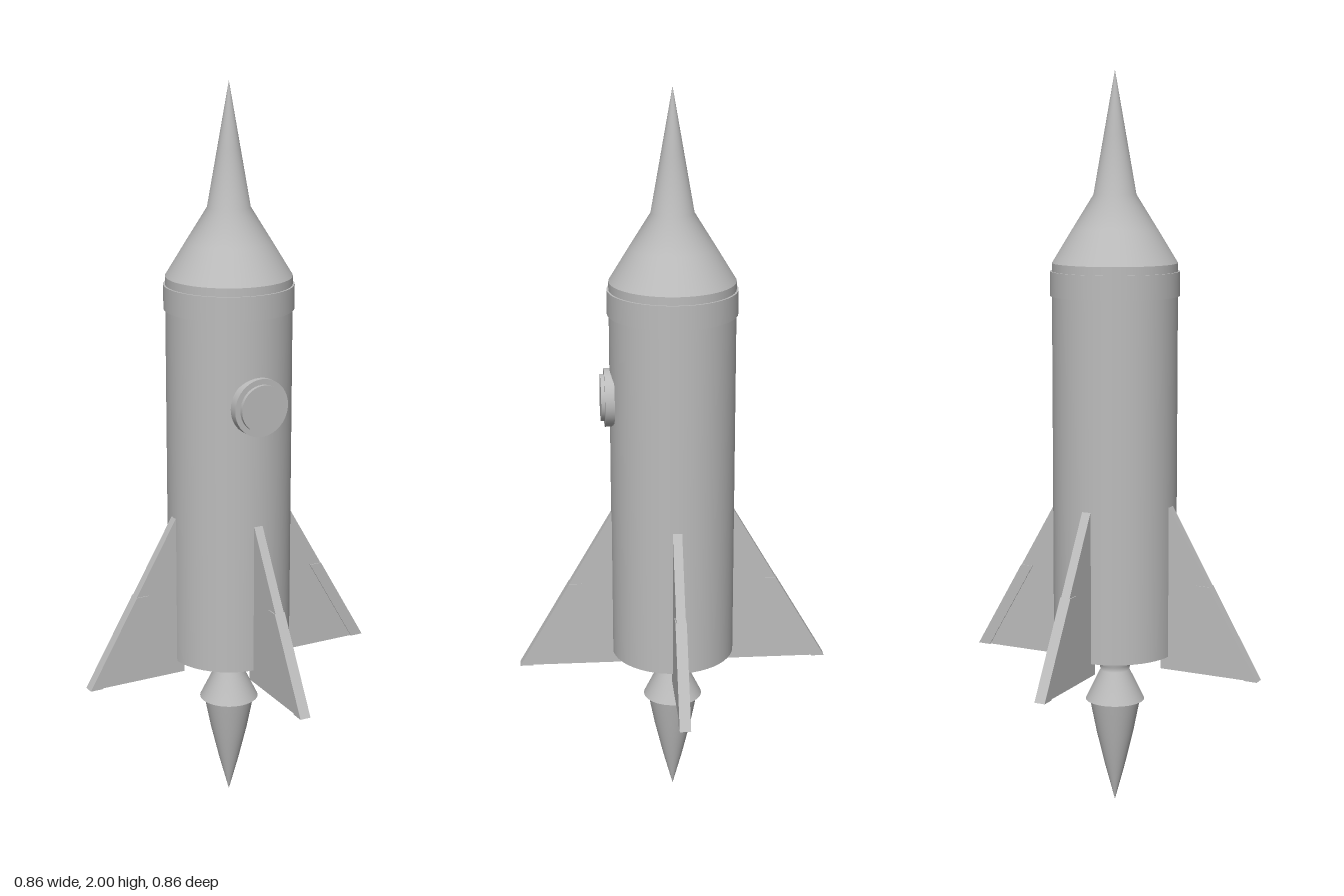
import * as THREE from 'three';

export function createModel() {
  const group = new THREE.Group();
  group.name = 'rocket';
  const grey = new THREE.MeshStandardMaterial({ color: 0xbcbcbc });
  grey.name = 'hull grey';

  const add = (name, geometry, parent = group) => {
    const mesh = new THREE.Mesh(geometry, grey);
    mesh.name = name;
    parent.add(mesh);
    return mesh;
  };
  // Profile points run from bottom to top as [radius, y]
  const lathe = (points) =>
    new THREE.LatheGeometry(points.map(([r, y]) => new THREE.Vector2(r, y)), 48);
  // Flat plate in the xy plane, centred on z = 0
  const plate = (points, thickness) => {
    const shape = new THREE.Shape(points.map(([x, y]) => new THREE.Vector2(x, y)));
    const geometry = new THREE.ExtrudeGeometry(shape, { depth: thickness, bevelEnabled: false });
    return geometry.translate(0, 0, -thickness / 2);
  };

  // Hull, collar and spire
  add('body', new THREE.CylinderGeometry(0.168, 0.168, 1.06, 48).translate(0, 0.967, 0));
  add('collar', new THREE.CylinderGeometry(0.173, 0.173, 0.065, 48).translate(0, 1.4425, 0));
  add('noseCone', lathe([[0.168, 1.497], [0.113, 1.587], [0.057, 1.677], [0.03, 1.83], [0, 2]]));

  // Engine bell and the pointed exhaust below it
  add('engineBell', lathe([[0, 0.292], [0.081, 0.292], [0.081, 0.295], [0.04, 0.378], [0.042, 0.392], [0.054, 0.44]])
    .toNonIndexed()).geometry.computeVertexNormals();
  group.getObjectByName('engineBell').geometry = lathe([[0.081, 0.294], [0.04, 0.378], [0.042, 0.392], [0.054, 0.44]]);
  add('engineBellBase', new THREE.CircleGeometry(0.081, 48).rotateX(Math.PI / 2).translate(0, 0.294, 0));
  add('exhaust', lathe([[0, 0], [0.027, 0.1], [0.051, 0.2], [0.07, 0.296]]));

  // Porthole on the front
  const porthole = new THREE.Group();
  porthole.name = 'porthole';
  porthole.position.set(0, 1.18, 0);
  group.add(porthole);
  const disc = (r, z0, z1) =>
    new THREE.CylinderGeometry(r, r, z1 - z0, 40).rotateX(Math.PI / 2).translate(0, 0, (z0 + z1) / 2);
  add('portholeRim', disc(0.078, 0.158, 0.183), porthole);
  add('portholeGlass', disc(0.063, 0.16, 0.193), porthole);

  // Four fins, each with a thicker strip along the lower outer edge
  for (let i = 0; i < 4; i++) {
    const fin = new THREE.Group();
    fin.name = 'fin' + (i + 1);
    fin.rotation.y = (i * Math.PI) / 2;
    add('finBlade', plate([[0.145, 0.402], [0.427, 0.402], [0.168, 0.85], [0.145, 0.85]], 0.025), fin);
    add('finEdge', plate([[0.392, 0.401], [0.428, 0.401], [0.287, 0.645], [0.251, 0.645]], 0.03), fin);
    group.add(fin);
  }
  return group;
}
